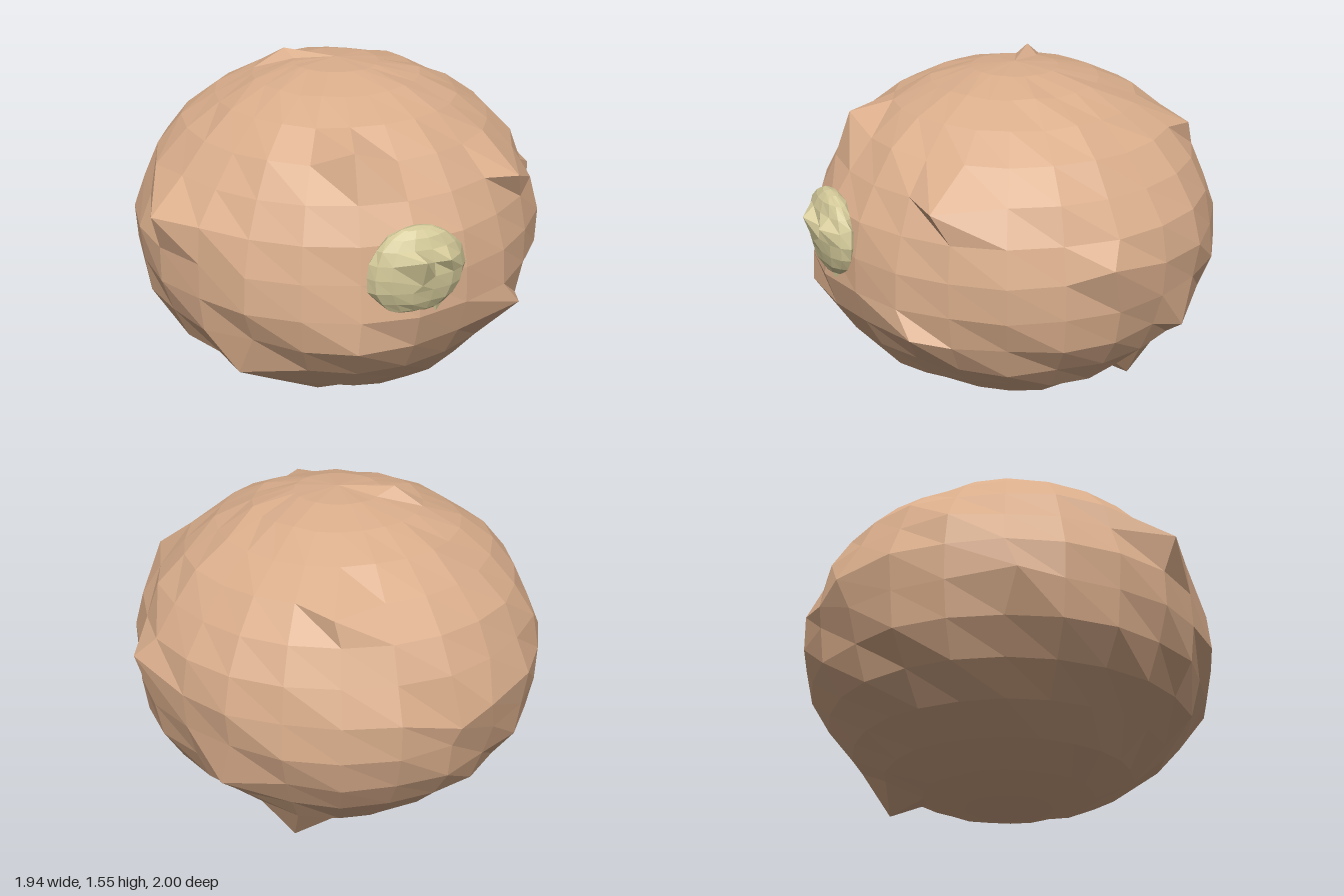
import * as THREE from 'three';
import { mergeVertices } from 'three/addons/utils/BufferGeometryUtils.js';

const bodyMat = new THREE.MeshStandardMaterial({ color: 0xd9ad8b, flatShading: true });
bodyMat.name = 'tanHide';
const patchMat = new THREE.MeshStandardMaterial({ color: 0xd3c999, flatShading: true });
patchMat.name = 'paleOlive';

function seeded(seed) {
  return () => {
    seed = (seed * 16807) % 2147483647;
    return seed / 2147483647;
  };
}

// Low-poly ellipsoid with slight roughness; the vertex nearest to each spike is pulled out to it.
function roughBlob(size, centre, segments, rings, roughness, spikes, seed) {
  const random = seeded(seed);
  let geo = new THREE.SphereGeometry(1, segments, rings);
  geo.deleteAttribute('uv');
  geo.deleteAttribute('normal');
  geo = mergeVertices(geo, 1e-4);
  const pos = geo.attributes.position;
  const v = new THREE.Vector3();
  for (let i = 0; i < pos.count; i++) {
    v.fromBufferAttribute(pos, i);
    v.multiplyScalar(1 + (random() - 0.5) * roughness * (1 - Math.abs(v.y) ** 8));
    v.multiply(size).add(centre);
    pos.setXYZ(i, v.x, v.y, v.z);
  }
  for (const [x, y, z] of spikes) {
    const tip = new THREE.Vector3(x, y, z);
    let best = 0, bestDistance = Infinity;
    for (let i = 0; i < pos.count; i++) {
      const d = v.fromBufferAttribute(pos, i).distanceTo(tip);
      if (d < bestDistance) { bestDistance = d; best = i; }
    }
    pos.setXYZ(best, x, y, z);
  }
  geo = geo.toNonIndexed();
  geo.computeVertexNormals();
  return geo;
}

export function createModel() {
  const group = new THREE.Group();
  group.name = 'lumpyBoulder';

  // Squat round body with scattered pointed lumps
  const bodySpikes = [
    [-0.21, 1.56, -0.21], [0.97, 0.92, 0.03], [-0.97, 1.02, 0.25],
    [-0.22, 1.36, 0.69], [0.43, 0.05, -0.42], [-0.28, 0.55, 0.89],
    [0.54, 0.58, 0.76], [0.4, 1.27, -0.72], [0.56, 1.14, 0.66],
    [0.8, 0.48, -0.45], [-0.87, 1.14, -0.05], [-0.05, 0.78, -1.0],
    [-0.21, 0.84, -0.99], [-0.68, 0.34, 0.5], [-0.88, 0.72, -0.48],
  ];
  const body = new THREE.Mesh(
    roughBlob(new THREE.Vector3(0.94, 0.77, 0.95), new THREE.Vector3(-0.02, 0.775, -0.04),
      24, 15, 0.035, bodySpikes, 41), bodyMat);
  body.name = 'body';
  group.add(body);

  // Rough round patch bulging from the front
  const patchSpikes = [
    [-0.03, 0.98, 1.0], [0.09, 0.96, 0.97], [0.06, 0.69, 0.9],
    [0.19, 0.97, 0.86], [-0.03, 0.86, 0.96],
  ];
  const patch = new THREE.Mesh(
    roughBlob(new THREE.Vector3(0.22, 0.2, 0.085), new THREE.Vector3(-0.02, 0.89, 0.87),
      14, 10, 0.06, patchSpikes, 7), patchMat);
  patch.name = 'frontPatch';
  group.add(patch);

  return group;
}
